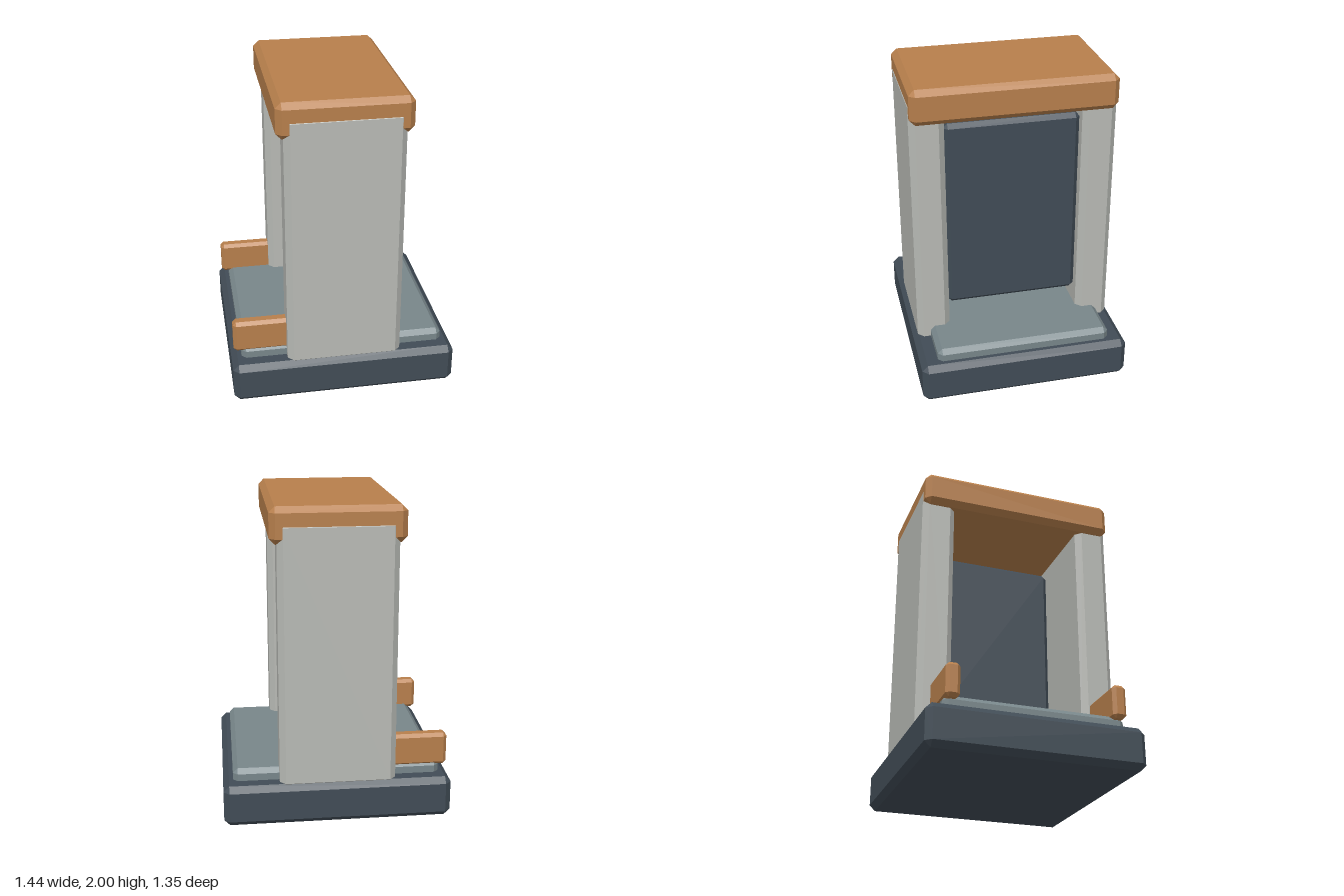
import * as THREE from 'three';
import { ConvexGeometry } from 'three/addons/geometries/ConvexGeometry.js';

const material = (name, color) => {
  const m = new THREE.MeshStandardMaterial({ color });
  m.name = name;
  return m;
};

// Box with flat 45 degree bevels, given by its [min, max] range on each axis
function bevelBox(name, [x0, x1], [y0, y1], [z0, z1], bevel, mat) {
  const half = [(x1 - x0) / 2, (y1 - y0) / 2, (z1 - z0) / 2];
  const points = [];
  for (const sx of [-1, 1]) for (const sy of [-1, 1]) for (const sz of [-1, 1]) {
    // each corner becomes three points, one on each face
    for (let face = 0; face < 3; face++) {
      const [x, y, z] = half.map((h, axis) => (axis === face ? h : h - bevel));
      points.push(new THREE.Vector3(sx * x, sy * y, sz * z));
    }
  }
  const mesh = new THREE.Mesh(new ConvexGeometry(points), mat);
  mesh.name = name;
  mesh.position.set((x0 + x1) / 2, (y0 + y1) / 2, (z0 + z1) / 2);
  return mesh;
}

export function createModel() {
  const slate = material('dark slate', 0x414c56);
  const stone = material('pale stone', 0xb8bab5);
  const steel = material('grey steel', 0x78868a);
  const copper = material('copper', 0xb77f4c);

  const model = new THREE.Group();
  model.name = 'gateway';

  // Stepped base
  model.add(bevelBox('base', [-0.72, 0.72], [0, 0.265], [-0.675, 0.675], 0.037, slate));
  model.add(bevelBox('floorPlate', [-0.657, 0.657], [0.2, 0.34], [-0.565, 0.565], 0.03, steel));

  // Roof beam and the panel hung between the pillars
  model.add(bevelBox('roofBeam', [-0.41, 0.41], [1.775, 2], [-0.643, 0.643], 0.036, copper));
  model.add(bevelBox('panel', [0.18, 0.3], [0.457, 1.727], [-0.43, 0.43], 0.028, slate));

  // Pillars and side rails, one at the front and one at the back
  for (const [label, s] of [['front', 1], ['back', -1]]) {
    const depth = (a, b) => (s > 0 ? [a, b] : [-b, -a]);
    model.add(bevelBox(label + 'Pillar', [-0.366, 0.366], [0.23, 1.915], depth(0.431, 0.646), 0.037, stone));
    model.add(bevelBox(label + 'Rail', [-0.705, -0.3], [0.313, 0.525], depth(0.475, 0.563), 0.021, copper));
  }
  return model;
}
